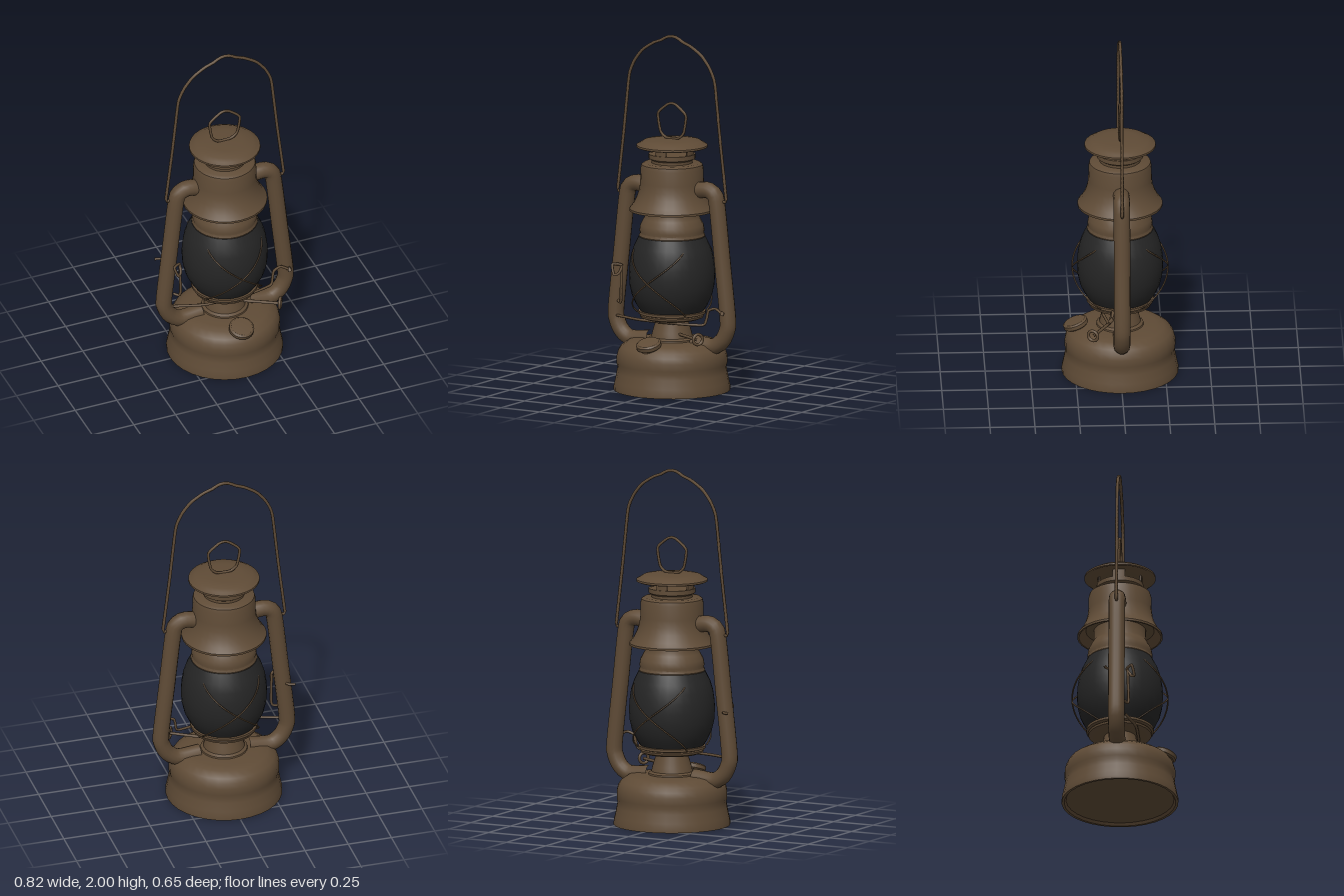
import * as THREE from 'three';
import { toCreasedNormals } from 'three/addons/utils/BufferGeometryUtils.js';

export function createModel() {
  const model = new THREE.Group();
  model.name = 'lantern';
  const metal = new THREE.MeshStandardMaterial({ color: 0x5f4b36 });
  metal.name = 'aged brown metal';
  const glass = new THREE.MeshStandardMaterial({ color: 0x252525 });
  glass.name = 'smoked glass';

  const add = (name, geometry, material = metal) => {
    const mesh = new THREE.Mesh(geometry, material);
    mesh.name = name;
    model.add(mesh);
    return mesh;
  };
  // Turned part from [radius, height] pairs, listed bottom to top on the outside
  const turned = (name, profile, material, crease = 0.6) => {
    const pts = profile.map(([r, y]) => new THREE.Vector2(r, y));
    return add(name, toCreasedNormals(new THREE.LatheGeometry(pts, 32), crease), material);
  };
  // Round wire or pipe through points; tension 0 keeps bends tight
  const wire = (name, points, radius, { closed = false, steps = 40, sides = 6, tension = 0.3 } = {}) => {
    const pts = points.map((p) => new THREE.Vector3(...p));
    const curve = new THREE.CatmullRomCurve3(pts, closed, 'catmullrom', tension);
    return add(name, new THREE.TubeGeometry(curve, steps, radius, sides, closed));
  };

  // Fuel tank
  turned('fuelTank', [
    [0, 0.015], [0.3, 0.015], [0.31, 0], [0.325, 0], [0.325, 0.02], [0.318, 0.05], [0.308, 0.1], [0.303, 0.13],
    [0.308, 0.15], [0.308, 0.19], [0.3, 0.22], [0.285, 0.245], [0.245, 0.272], [0.2, 0.28], [0, 0.285],
  ]);

  // Burner cone and the gallery that holds the globe
  turned('burner', [
    [0, 0.27], [0.135, 0.27], [0.13, 0.29], [0.115, 0.3], [0.108, 0.33], [0.09, 0.39], [0.085, 0.42], [0, 0.42],
  ]);
  turned('globeGallery', [
    [0, 0.4], [0.15, 0.4], [0.175, 0.41], [0.178, 0.422], [0.17, 0.427], [0.188, 0.432],
    [0.188, 0.446], [0.165, 0.45], [0, 0.45],
  ]);

  // Globe
  turned('globe', [
    [0, 0.44], [0.172, 0.44], [0.198, 0.48], [0.222, 0.53], [0.236, 0.59], [0.24, 0.65], [0.237, 0.7],
    [0.228, 0.76], [0.212, 0.81], [0.185, 0.865], [0, 0.865],
  ], glass);

  // Collar, hood and chimney neck
  turned('globeCollar', [
    [0, 0.855], [0.18, 0.855], [0.184, 0.87], [0.178, 0.885], [0.181, 0.9], [0.176, 0.93], [0.158, 0.965],
    [0.146, 0.985], [0.145, 1.06], [0, 1.06],
  ]);
  turned('hood', [
    [0, 1.05], [0.19, 1.05], [0.228, 1.01], [0.237, 1.01], [0.237, 1.022], [0.215, 1.05], [0.195, 1.09],
    [0.182, 1.13], [0.177, 1.17], [0.175, 1.25], [0.17, 1.27], [0.155, 1.28], [0, 1.28],
  ]);
  turned('chimneyNeck', [
    [0, 1.27], [0.115, 1.27], [0.115, 1.295], [0.13, 1.305], [0.13, 1.33], [0, 1.33],
  ]);

  // Four curved strips hold the cap above the vent openings
  for (let i = 0; i < 4; i++) {
    const strip = new THREE.CylinderGeometry(0.124, 0.124, 0.06, 4, 1, true, -0.28, 0.56);
    const post = add('ventPost', strip, metal);
    const inner = add('ventPostInside', new THREE.BoxGeometry(0.066, 0.06, 0.008));
    post.position.y = inner.position.y = 1.35;
    post.rotation.y = inner.rotation.y = (i * Math.PI) / 2;
    inner.position.x = Math.sin(i * Math.PI / 2) * 0.115;
    inner.position.z = Math.cos(i * Math.PI / 2) * 0.115;
  }
  turned('chimneyCap', [
    [0, 1.375], [0.17, 1.375], [0.19, 1.366], [0.199, 1.37], [0.198, 1.38], [0.18, 1.39], [0.16, 1.403],
    [0.1, 1.409], [0, 1.414],
  ], metal, 0.9);

  // Lifting ring on the cap
  wire('capRing', [
    [0, 1.613, 0], [0.03, 1.604, 0], [0.09, 1.55, 0], [0.075, 1.45, 0], [0.038, 1.418, 0],
    [-0.038, 1.418, 0], [-0.075, 1.45, 0], [-0.09, 1.55, 0], [-0.03, 1.604, 0],
  ], 0.008, { closed: true, steps: 54 });

  // Side air tubes
  for (const s of [1, -1]) {
    wire('sideTube', [
      [0.15, 1.135, 0], [0.225, 1.145, 0], [0.27, 1.128, 0], [0.293, 1.07, 0], [0.33, 0.74, 0],
      [0.364, 0.43, 0], [0.358, 0.36, 0], [0.325, 0.3, 0], [0.265, 0.265, 0], [0.14, 0.275, 0],
    ].map(([x, y, z]) => [s * x, y, z]), 0.046, { steps: 48, sides: 14, tension: 0.45 });
  }

  // Carrying bail, hooked into the tubes at both ends
  const bailHalf = [
    [0.3, 1.09], [0.353, 1.088], [0.352, 1.11], [0.315, 1.42], [0.283, 1.72], [0.27, 1.78],
    [0.24, 1.84], [0.19, 1.9], [0.12, 1.945], [0.065, 1.966], [0.035, 1.985],
  ];
  wire('bail', [
    ...bailHalf.map(([x, y]) => [-x, y, 0]), [0, 1.991, 0],
    ...bailHalf.slice().reverse().map(([x, y]) => [x, y, 0]),
  ], 0.009, { steps: 90 });

  // Guard wires cross over the front and the back of the globe
  for (const facing of [0, Math.PI]) {
    for (const s of [1, -1]) {
      const path = [];
      for (let i = 0; i <= 12; i++) {
        const t = i / 12;
        const angle = facing + s * (0.95 - 1.9 * t);
        const r = 0.192 + 0.074 * Math.pow(Math.sin(Math.PI * t), 0.7);
        path.push([r * Math.sin(angle), 0.82 - 0.38 * t, r * Math.cos(angle)]);
      }
      wire('guardWire', path, 0.0045, { tension: 0.5 });
    }
  }

  // Globe lifting lever: cross wire with a crank at one end and a loop at the other
  wire('liftLever', [
    [-0.33, 0.392, 0.045], [-0.15, 0.392, 0.1], [0.1, 0.392, 0.1], [0.245, 0.394, 0.07], [0.262, 0.43, 0.06],
    [0.272, 0.475, 0.055], [0.315, 0.49, 0.05], [0.365, 0.462, 0.06],
  ], 0.008, { steps: 60 });
  wire('leverTip', [[0.362, 0.475, 0.05], [0.366, 0.455, 0.072]], 0.011, { steps: 4 });
  wire('latchRod', [
    [-0.325, 0.475, 0.04], [-0.3, 0.47, 0.06], [-0.292, 0.5, 0.065], [-0.294, 0.68, 0.06],
  ], 0.008);
  wire('latchLoop', [
    [-0.294, 0.68, 0.055], [-0.336, 0.685, 0.085], [-0.318, 0.63, 0.098], [-0.296, 0.64, 0.08],
  ], 0.008, { closed: true });
  wire('latchHook', [[-0.345, 0.66, -0.035], [-0.36, 0.66, -0.055], [-0.395, 0.66, -0.065]], 0.008, { steps: 12 });

  // Wick adjuster: spindle and pierced thumb wheel
  wire('wickSpindle', [[0.07, 0.325, 0.05], [0.17, 0.325, 0.105], [0.265, 0.325, 0.16]], 0.009, { steps: 8 });
  const wheel = add('wickWheel', new THREE.TorusGeometry(0.029, 0.009, 8, 18));
  wheel.position.set(0.267, 0.328, 0.16);
  wheel.rotation.y = 1.05;

  // Filler neck and cap, tilted to the front
  const neck = add('fillerNeck', new THREE.CylinderGeometry(0.05, 0.058, 0.07, 24));
  neck.position.set(0, 0.255, 0.235);
  neck.rotation.x = 0.35;
  const cap = turned('fillerCap', [
    [0, -0.018], [0.06, -0.018], [0.07, -0.01], [0.07, 0.01], [0.06, 0.018], [0, 0.022],
  ]);
  cap.position.set(0, 0.285, 0.247);
  cap.rotation.x = 0.35;

  return model;
}
